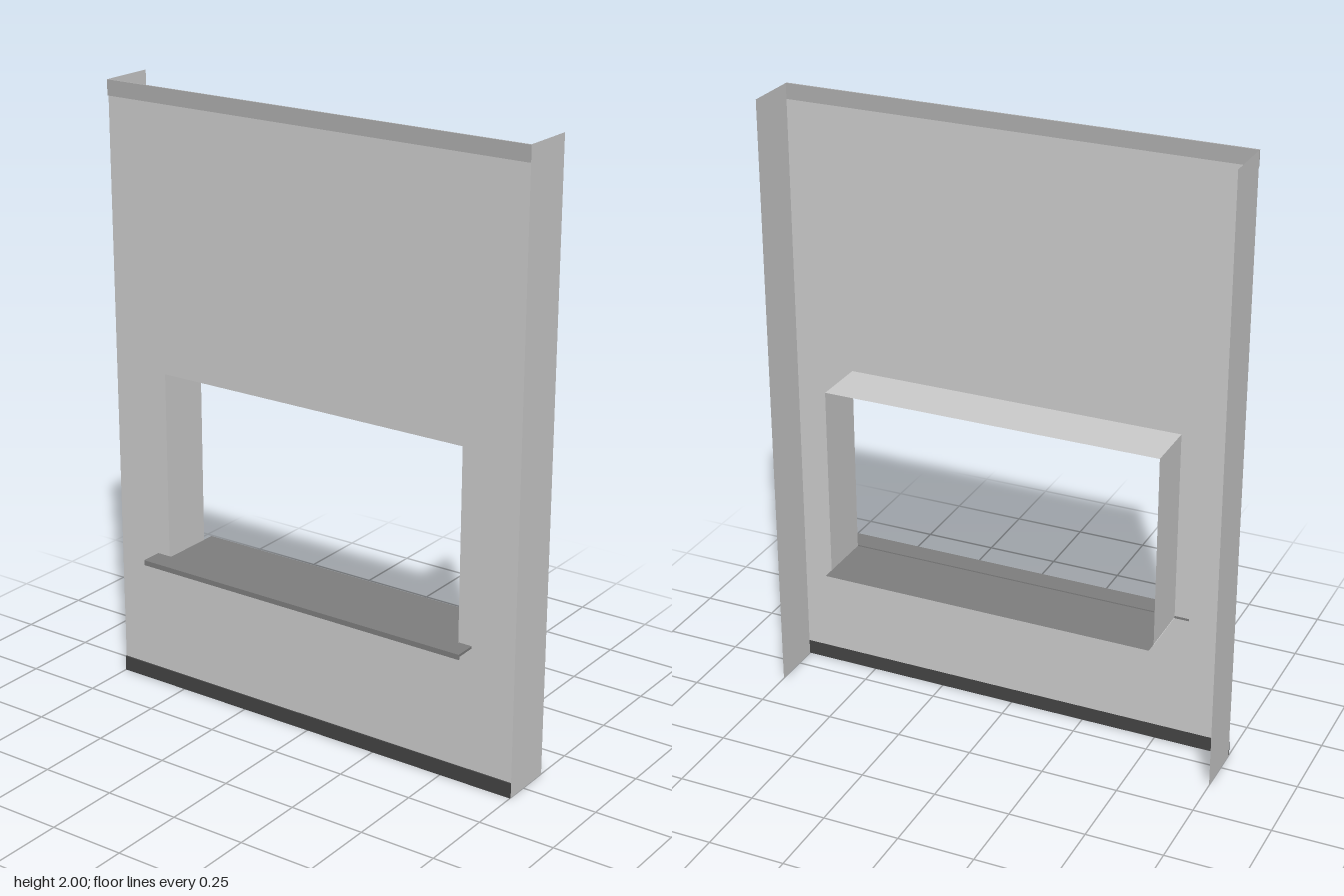
import * as THREE from 'three';

const makeMaterial = (color) => new THREE.MeshStandardMaterial({ color, side: THREE.DoubleSide });

export function createModel() {
  const model = new THREE.Group();
  const grey = makeMaterial(0xcccccc);
  const sillGrey = makeMaterial(0x7e7e7e);
  const frontZ = 0.073, backZ = -0.107;
  const depth = frontZ - backZ, midZ = (frontZ + backZ) / 2;
  const halfW = 0.75, openW = 0.553, openBottom = 0.457, openTop = 1.085;

  function add(name, geometry, material, x = 0, y = 0, z = 0) {
    const mesh = new THREE.Mesh(geometry, material);
    mesh.name = name;
    mesh.position.set(x, y, z);
    model.add(mesh);
    return mesh;
  }
  // thin sheets: upright facing sideways, and lying flat
  const sideSheet = (h, d) => new THREE.PlaneGeometry(d, h).rotateY(Math.PI / 2);
  const flatSheet = (w, d) => new THREE.PlaneGeometry(w, d).rotateX(-Math.PI / 2);

  // wall face with window opening, between the two edge strips
  const wall = new THREE.Shape([
    [-halfW, 0.05], [halfW, 0.05], [halfW, 1.95], [-halfW, 1.95],
  ].map(([x, y]) => new THREE.Vector2(x, y)));
  wall.holes.push(new THREE.Path([
    [-openW, openBottom], [-openW, openTop], [openW, openTop], [openW, openBottom],
  ].map(([x, y]) => new THREE.Vector2(x, y))));
  add('wallFace', new THREE.ShapeGeometry(wall), grey, 0, 0, frontZ);

  // strips along the top and the base, standing slightly proud
  const strip = new THREE.BoxGeometry(halfW * 2, 0.05, 0.005);
  add('topStrip', strip, makeMaterial(0xaeaeae), 0, 1.975, frontZ + 0.0025);
  add('baseStrip', strip, makeMaterial(0x444444), 0, 0.025, frontZ + 0.0025);

  // wall ends and window jambs
  for (const [side, s] of [['left', 1], ['right', -1]]) {
    add(side + 'WallEnd', sideSheet(2, depth), grey, s * halfW, 1, midZ);
    add(side + 'Jamb', sideSheet(openTop - openBottom, depth), grey,
      s * openW, (openTop + openBottom) / 2, midZ);
  }

  // window head and the underside of the opening
  add('windowHead', flatSheet(openW * 2, depth), grey, 0, openTop, midZ);
  add('openingBase', flatSheet(openW * 2, depth), grey, 0, openBottom - 0.003, midZ);

  // sill: inner sheet, wider outer ledge and its drip lip
  add('innerSill', flatSheet(openW * 2, frontZ + 0.147), sillGrey, 0, openBottom, (frontZ - 0.147) / 2);
  add('outerSill', new THREE.BoxGeometry(1.2, 0.008, 0.07), sillGrey, 0, 0.457, frontZ + 0.035);
  add('sillLip', new THREE.BoxGeometry(1.2, 0.017, 0.006), sillGrey, 0, 0.4525, 0.142);

  return model;
}
